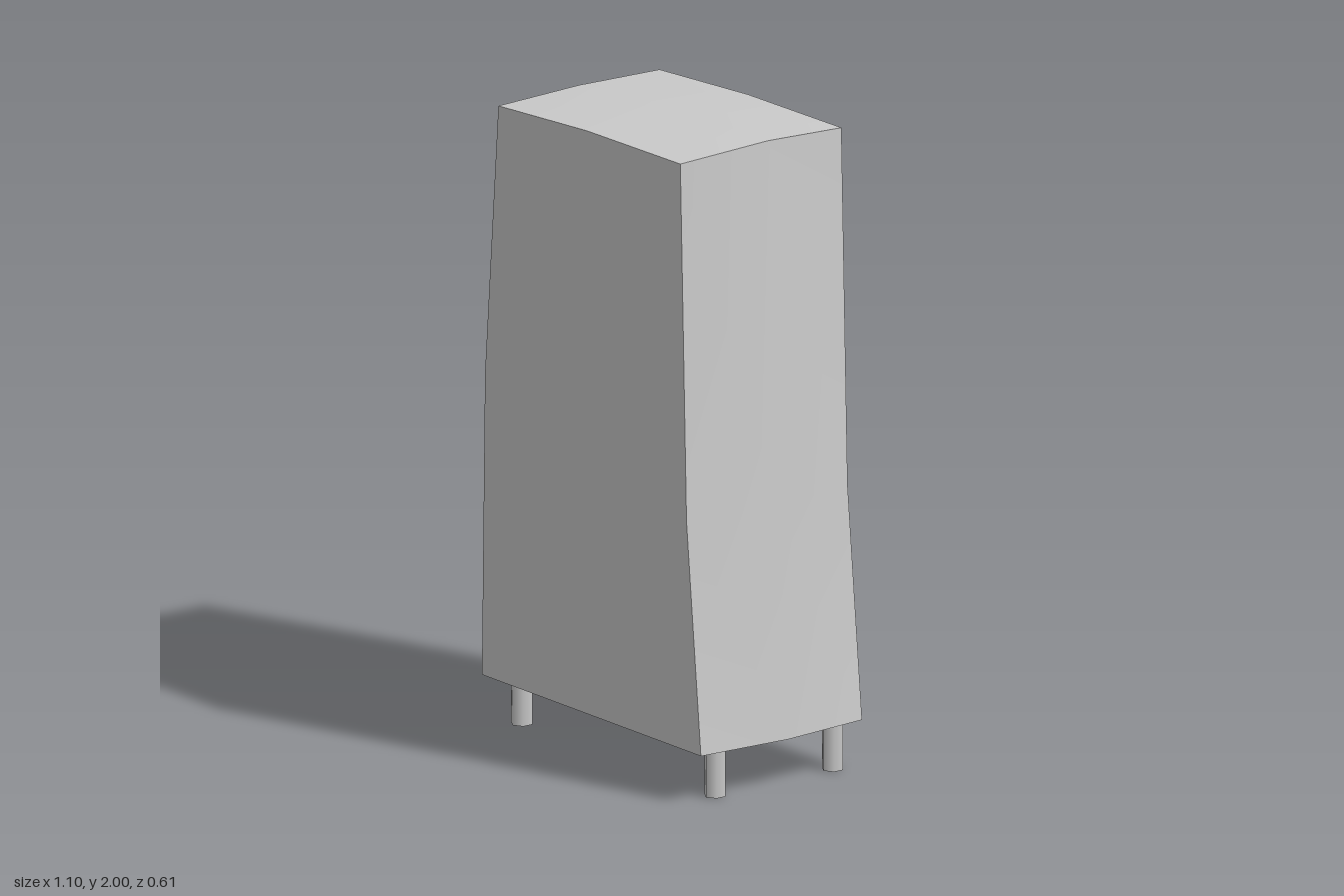
import * as THREE from 'three';

const material = new THREE.MeshStandardMaterial({ color: 0xcccccc });
const HALF_DEPTH = 0.305;
const RIDGE_Z = -0.01;

// Each side of the casing runs counter-clockwise seen from the front.
// Points are [x, y at the front and back edge, x, y at the bulging middle].
const corners = {
  bottomRight: [0.525, 0.155, 0.548, 0.155],
  topRight: [0.425, 1.98, 0.448, 2.0],
  topLeft: [-0.46, 1.95, -0.473, 1.953],
  bottomLeft: [-0.54, 0.155, -0.553, 0.155],
};
const sides = {
  rightSide: [corners.bottomRight, [0.455, 0.87, 0.495, 0.87], corners.topRight],
  topPanel: [corners.topRight, [-0.03, 1.975, -0.03, 1.996], corners.topLeft],
  leftSide: [corners.topLeft, [-0.525, 1.1, -0.535, 1.1], corners.bottomLeft],
  bottomPanel: [corners.bottomLeft, corners.bottomRight],
};

// A smooth panel lofted from front edge over the bulge to the back edge
function sidePanel(points) {
  const positions = [], index = [];
  points.forEach(([x, y, midX, midY], i) => {
    positions.push(x, y, HALF_DEPTH, midX, midY, RIDGE_Z, x, y, -HALF_DEPTH);
    if (i === points.length - 1) return;
    for (let j = 0; j < 2; j++) {
      const a = i * 3 + j;
      index.push(a, a + 1, a + 3, a + 1, a + 4, a + 3);
    }
  });
  const geometry = new THREE.BufferGeometry();
  geometry.setAttribute('position', new THREE.Float32BufferAttribute(positions, 3));
  geometry.setIndex(index);
  geometry.computeVertexNormals();
  return geometry;
}

export function createModel() {
  const model = new THREE.Group();
  model.name = 'cabinet';
  const add = (parent, name, geometry) => {
    const mesh = new THREE.Mesh(geometry, material);
    mesh.name = name;
    parent.add(mesh);
    return mesh;
  };

  // Casing: bulging sides, top and bottom
  const casing = new THREE.Group();
  casing.name = 'casing';
  model.add(casing);
  for (const [name, points] of Object.entries(sides)) add(casing, name, sidePanel(points));

  // Flat front and back panels
  const outline = [sides.rightSide, sides.topPanel, sides.leftSide]
    .flatMap((points) => points.slice(0, -1))
    .concat([corners.bottomLeft])
    .map(([x, y]) => new THREE.Vector2(x, y));
  add(casing, 'frontPanel', new THREE.ShapeGeometry(new THREE.Shape(outline))).position.z = HALF_DEPTH;
  const mirrored = outline.map((p) => new THREE.Vector2(-p.x, p.y));
  const back = add(casing, 'backPanel', new THREE.ShapeGeometry(new THREE.Shape(mirrored)));
  back.rotation.y = Math.PI;
  back.position.z = -HALF_DEPTH;

  // Legs: two at the front, three at the back
  const legGeometry = new THREE.CylinderGeometry(0.034, 0.034, 0.16, 6);
  const legs = {
    frontLeftLeg: [0.465, 0.205],
    frontRightLeg: [-0.475, 0.205],
    backLeftLeg: [0.465, -0.24],
    backMiddleLeg: [-0.03, -0.24],
    backRightLeg: [-0.475, -0.24],
  };
  for (const [name, [x, z]] of Object.entries(legs)) add(model, name, legGeometry).position.set(x, 0.08, z);

  return model;
}
